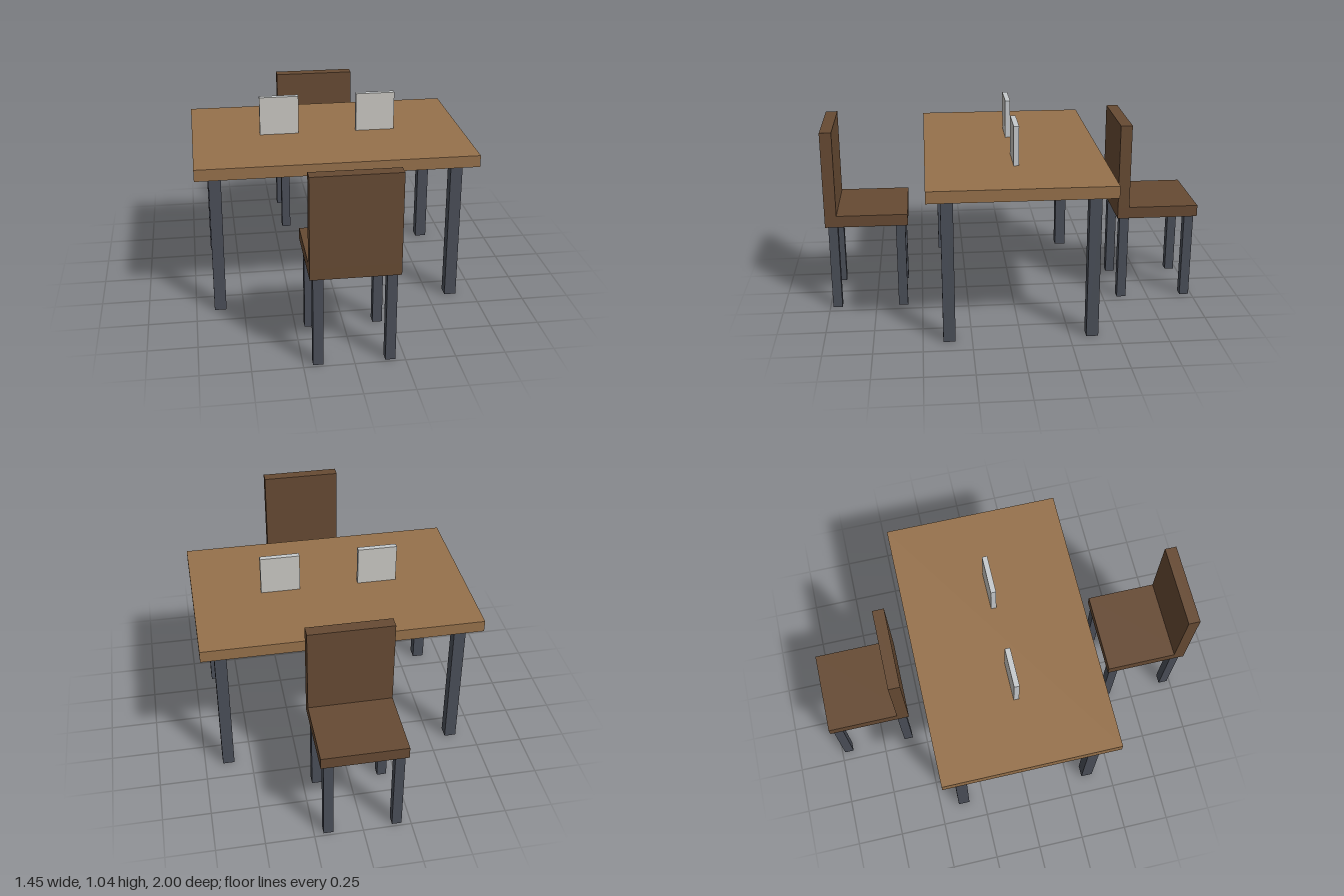
import * as THREE from 'three';

const material = (name, color) => {
  const m = new THREE.MeshStandardMaterial({ color });
  m.name = name;
  return m;
};

export function createModel() {
  const tableWood = material('table wood', 0x96714b);
  const chairWood = material('chair wood', 0x664a33);
  const metal = material('dark metal', 0x4a4e58);
  const panelFace = material('panel face', 0xc9c7c2);
  const panelEdge = material('panel edge', 0xc6cacd);

  // Box given by its size and the centre of its underside
  const box = (parent, name, mat, [w, h, d], [x, y, z]) => {
    const mesh = new THREE.Mesh(new THREE.BoxGeometry(w, h, d), mat);
    mesh.name = name;
    mesh.position.set(x, y + h / 2, z);
    parent.add(mesh);
  };

  // Four square legs mirrored about the centre
  const legs = (parent, name, width, height, x, z) => {
    for (const sx of [-1, 1])
      for (const sz of [-1, 1])
        box(parent, name, metal, [width, height, width], [sx * x, 0, sz * z]);
  };

  const group = (name, parent) => {
    const g = new THREE.Group();
    g.name = name;
    if (parent) parent.add(g);
    return g;
  };

  const model = group('diningSet');

  // Table
  const table = group('table', model);
  box(table, 'tableTop', tableWood, [1.453, 0.062, 0.936], [0, 0.773, 0]);
  legs(table, 'tableLeg', 0.062, 0.773, 0.624, 0.366);

  // Two chairs, both turned the same way with the backrest toward +z
  for (const [name, z] of [['frontChair', 0.782], ['backChair', -0.782]]) {
    const chair = group(name, model);
    chair.position.z = z;
    box(chair, 'seat', chairWood, [0.436, 0.062, 0.436], [0, 0.472, 0]);
    box(chair, 'backrest', chairWood, [0.436, 0.456, 0.062], [0, 0.534, 0.187]);
    legs(chair, 'chairLeg', 0.05, 0.472, 0.177, 0.178);
  }

  // Two upright panels on the table: a core with a thin sheet on each side
  for (const [name, x] of [['leftPanel', 0.26], ['rightPanel', -0.26]]) {
    const panel = group(name, model);
    panel.position.set(x, 0.835, 0);
    box(panel, 'panelCore', panelEdge, [0.208, 0.208, 0.022], [0, 0, 0]);
    for (const s of [-1, 1])
      box(panel, 'panelSheet', panelFace, [0.208, 0.208, 0.003], [0, 0, s * 0.0125]);
  }

  return model;
}
